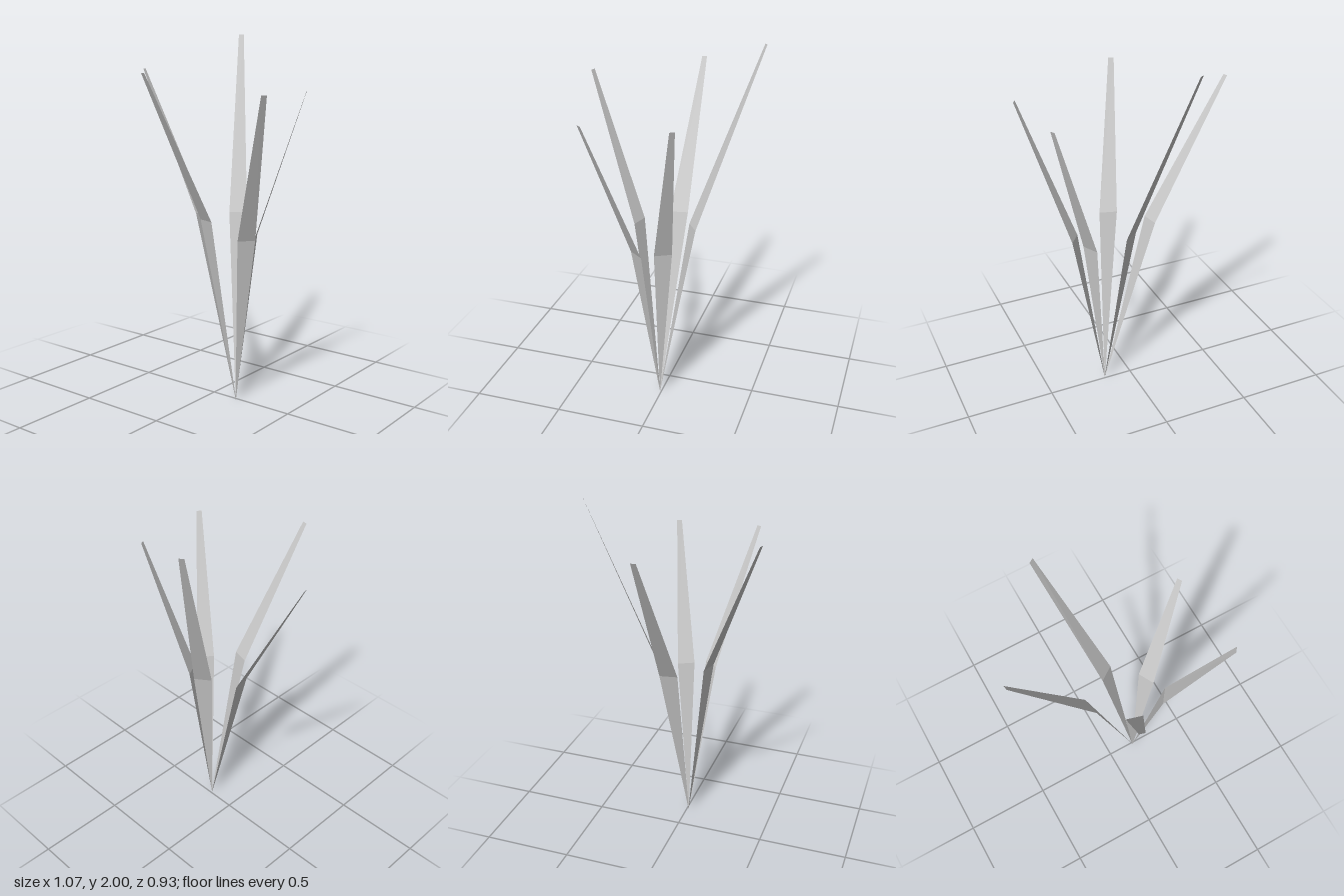
import * as THREE from 'three';

// All blades sprout from one point at the ground
const ROOT = [0.16, 0.009];
const ROOT_WIDTH = 0.002;

// Each blade: height of the bend and tip, then the [x, z] ends of the edge there
const BLADES = [
  { name: 'backBlade', bendY: 1.03, bend: [[0.016, -0.117], [0.096, -0.174]], tipY: 2.0, tip: [[-0.171, -0.453], [-0.147, -0.468]] },
  { name: 'rightBlade', bendY: 1.03, bend: [[-0.104, 0.029], [-0.121, -0.068]], tipY: 1.81, tip: [[-0.529, -0.025], [-0.535, -0.051]] },
  { name: 'frontBlade', bendY: 1.03, bend: [[0.11, 0.166], [0.016, 0.139]], tipY: 1.81, tip: [[-0.081, 0.463], [-0.11, 0.455]] },
  { name: 'leftFrontBlade', bendY: 0.94, bend: [[0.317, 0.058], [0.258, 0.135]], tipY: 1.715, tip: [[0.532, 0.278], [0.515, 0.302]] },
  { name: 'leftBackBlade', bendY: 0.94, bend: [[0.23, -0.085], [0.275, 0.001]], tipY: 1.715, tip: [[0.472, -0.174], [0.485, -0.15]] },
];

// A thin strip of two flat quads: root to bend, bend to tip
function bladeGeometry({ bendY, bend, tipY, tip }) {
  const [a, b] = bend;
  const width = Math.hypot(b[0] - a[0], b[1] - a[1]);
  const root = [-0.5, 0.5].map((side) =>
    [0, 1].map((i) => ROOT[i] + side * ROOT_WIDTH * (b[i] - a[i]) / width));
  const positions = [];
  for (const [y, edge] of [[0, root], [bendY, bend], [tipY, tip]]) {
    for (const [x, z] of edge) positions.push(x, y, z);
  }
  const indices = [];
  for (let i = 0; i < 4; i += 2) indices.push(i, i + 1, i + 3, i, i + 3, i + 2);
  const geometry = new THREE.BufferGeometry();
  geometry.setAttribute('position', new THREE.Float32BufferAttribute(positions, 3));
  geometry.setIndex(indices);
  const flat = geometry.toNonIndexed();
  flat.computeVertexNormals();
  return flat;
}

export function createModel() {
  const group = new THREE.Group();
  group.name = 'grassTuft';
  const material = new THREE.MeshStandardMaterial({
    color: 0xcccccc, flatShading: true, side: THREE.DoubleSide,
  });
  for (const blade of BLADES) {
    const mesh = new THREE.Mesh(bladeGeometry(blade), material);
    mesh.name = blade.name;
    group.add(mesh);
  }
  return group;
}
